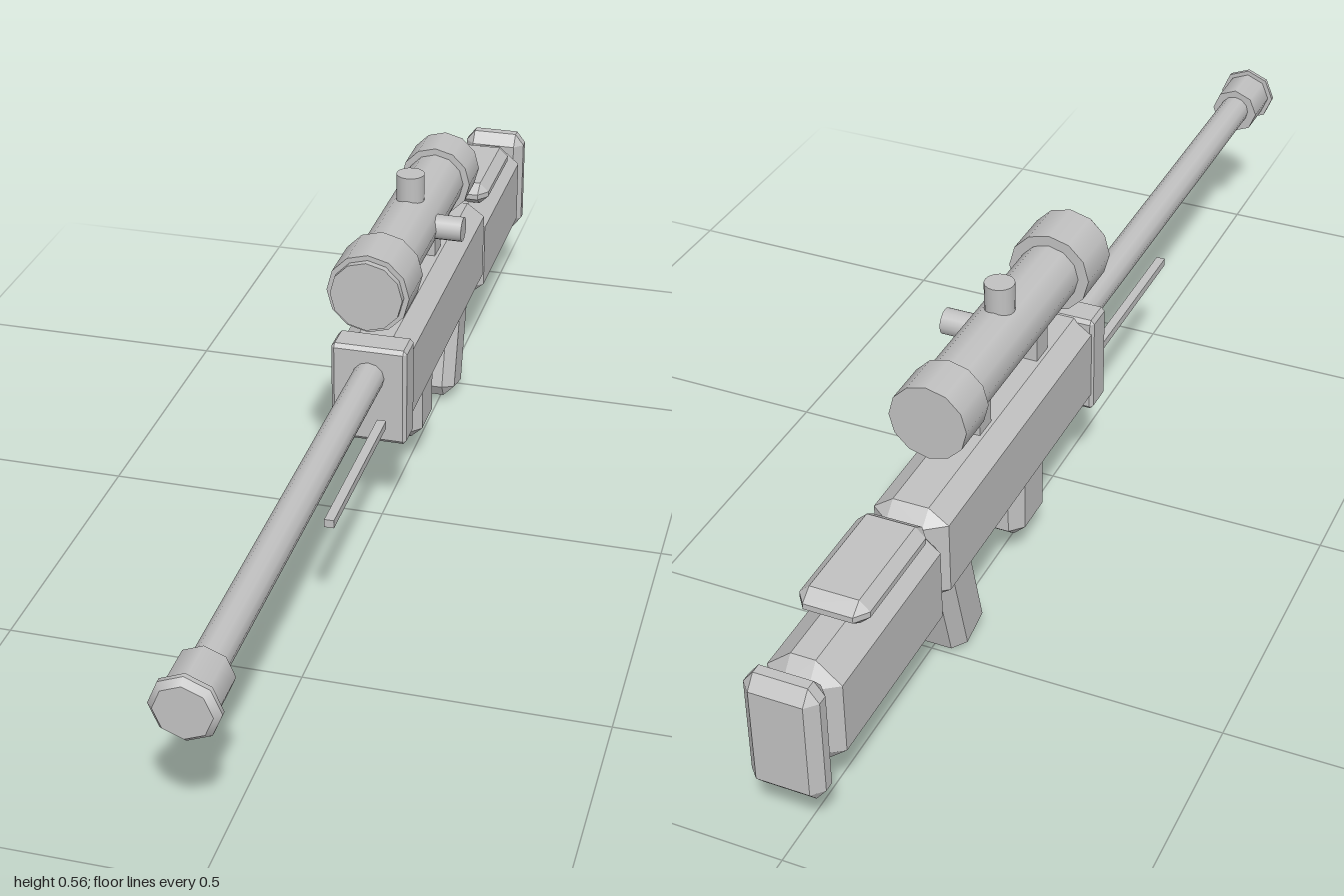
import * as THREE from 'three';
import { ConvexGeometry } from 'three/addons/geometries/ConvexGeometry.js';

const CX = -0.0128; // centre line of the body; the side dial reaches out to +x

// Box with every edge chamfered; size and bevel are [x, y, z]
function bevelBox([w, h, d], [bx, by, bz]) {
  const pts = [];
  for (const sx of [-1, 1]) for (const sy of [-1, 1]) for (const sz of [-1, 1]) {
    const x = w / 2, y = h / 2, z = d / 2;
    pts.push(
      new THREE.Vector3(sx * x, sy * (y - by), sz * (z - bz)),
      new THREE.Vector3(sx * (x - bx), sy * y, sz * (z - bz)),
      new THREE.Vector3(sx * (x - bx), sy * (y - by), sz * z));
  }
  return new ConvexGeometry(pts);
}

export function createModel() {
  const model = new THREE.Group();
  const grey = new THREE.MeshStandardMaterial({ color: 0xc1c1c1 });
  grey.name = 'grey';

  const add = (name, geometry, x, y, z) => {
    const mesh = new THREE.Mesh(geometry, grey);
    mesh.name = name;
    mesh.position.set(x, y, z);
    model.add(mesh);
    return mesh;
  };
  // Bevelled block between y0..y1 and z0..z1 on the centre line
  const block = (name, w, y0, y1, z0, z1, bevel) =>
    add(name, bevelBox([w, y1 - y0, z1 - z0], bevel), CX, (y0 + y1) / 2, (z0 + z1) / 2);
  // Round part along z from z0 (back) to z1 (front)
  const rod = (name, y, z0, z1, rBack, rFront, sides) =>
    add(name, new THREE.CylinderGeometry(rFront, rBack, z1 - z0, sides).rotateX(Math.PI / 2),
      CX, y, (z0 + z1) / 2);

  // Body
  block('frontPlate', 0.133, 0.175, 0.357, -0.013, 0.045, [0.006, 0.007, 0.006]);
  block('receiver', 0.126, 0.183, 0.355, -0.6, 0.02, [0.033, 0.024, 0.025]);
  block('stock', 0.12, 0.139, 0.33, -0.945, -0.572, [0.04, 0.034, 0.028]);
  block('cheekRest', 0.114, 0.328, 0.37, -0.842, -0.618, [0.017, 0.016, 0.022]);
  block('buttPad', 0.12, 0.131, 0.34, -1.0, -0.947, [0.017, 0.022, 0.018]);
  block('magazine', 0.085, 0.063, 0.24, -0.27, -0.152, [0.021, 0.02, 0.022]);

  // Slanted grip
  add('grip', bevelBox([0.088, 0.24, 0.1], [0.02, 0.02, 0.02]), CX, 0.124, -0.48).rotation.x = -0.26;

  // Guard ring and trigger
  add('triggerGuard', new THREE.TorusGeometry(0.052, 0.008, 8, 24).rotateY(Math.PI / 2), CX, 0.175, -0.404);
  add('trigger', new THREE.BoxGeometry(0.012, 0.04, 0.01), CX, 0.177, -0.412).rotation.x = 0.2;

  // Barrel and flanged muzzle
  rod('barrel', 0.301, 0.0, 0.93, 0.028, 0.028, 12);
  rod('muzzle', 0.298, 0.905, 0.985, 0.045, 0.045, 8);
  rod('muzzleFlange', 0.298, 0.982, 0.99, 0.0538, 0.0538, 8);
  rod('muzzleLip', 0.298, 0.99, 1.0, 0.0538, 0.044, 8);

  // Scope
  const sy = 0.46;
  rod('scopeTube', sy, -0.44, -0.03, 0.053, 0.053, 12);
  rod('scopeFrontBell', sy, -0.048, 0.046, 0.0715, 0.0715, 12);
  rod('scopeFrontRim', sy, 0.046, 0.058, 0.0625, 0.0625, 12);
  rod('scopeRearBell', sy, -0.51, -0.43, 0.065, 0.065, 12);
  add('scopeTopDial', new THREE.CylinderGeometry(0.025, 0.025, 0.08, 16), CX, 0.516, -0.243);
  add('scopeSideDial', new THREE.CylinderGeometry(0.022, 0.022, 0.07, 16).rotateZ(Math.PI / 2), 0.049, 0.459, -0.243);
  for (const z of [-0.131, -0.356])
    add('scopeMount', new THREE.BoxGeometry(0.048, 0.085, 0.043), CX, 0.385, z);

  // Pair of slim rods under the barrel
  for (const side of [-1, 1])
    add('underRod', new THREE.BoxGeometry(0.016, 0.014, 0.324), CX + side * 0.033, 0.234, 0.242);

  return model;
}
